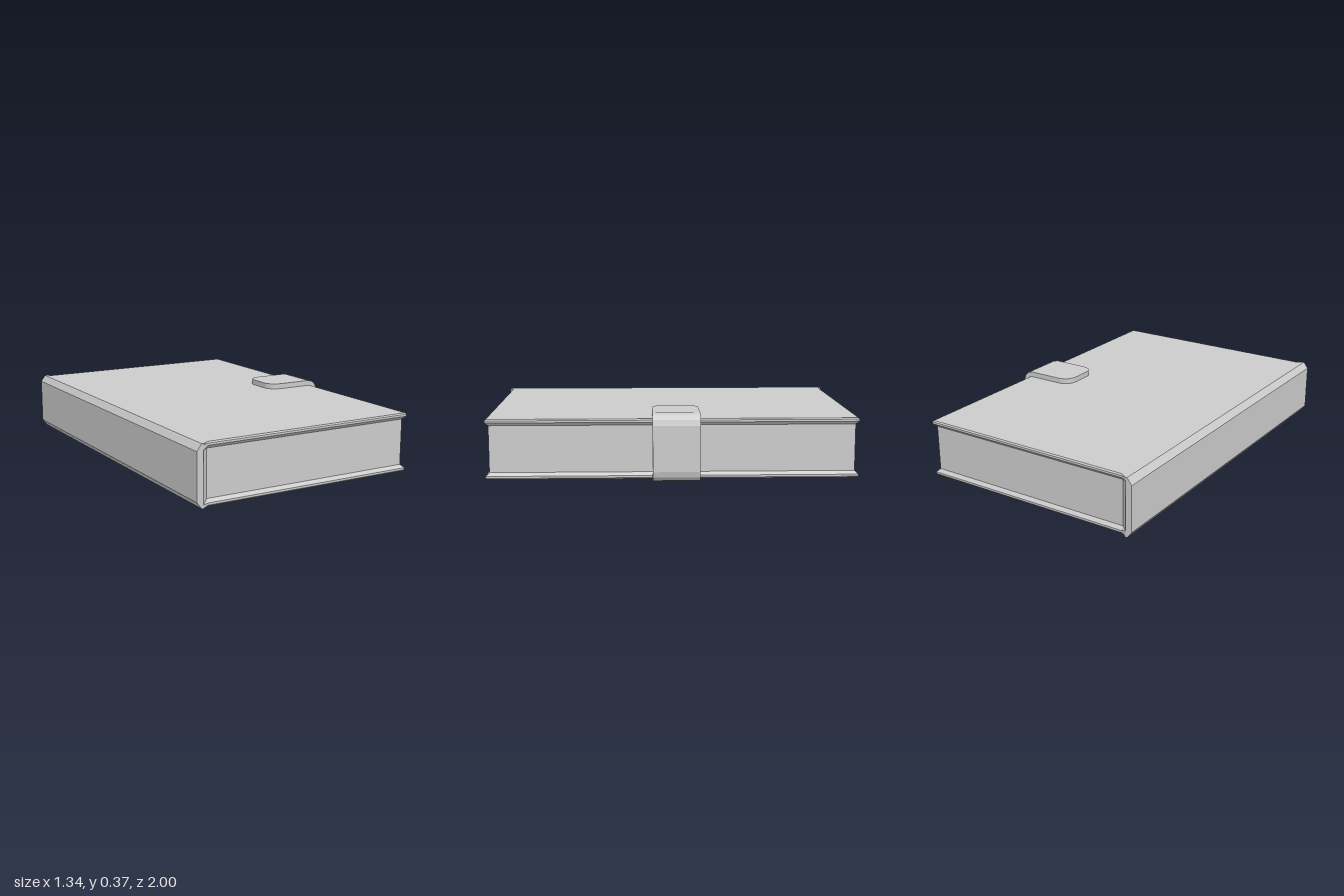
import * as THREE from 'three';

// Skin between successive rings of points; rings run counter-clockwise about the direction of travel
function skin(rings, { closed = false, startCap = null, endCap = null } = {}) {
  const pos = [];
  const tri = (a, b, c) => pos.push(...a, ...b, ...c);
  for (let i = 0; i < rings.length - 1; i++) {
    const lo = rings[i], hi = rings[i + 1], n = lo.length;
    for (let j = 0; j < (closed ? n : n - 1); j++) {
      const k = (j + 1) % n;
      tri(lo[j], lo[k], hi[k]);
      tri(lo[j], hi[k], hi[j]);
    }
  }
  if (startCap) for (let j = 1; j < startCap.length - 1; j++) tri(startCap[0], startCap[j + 1], startCap[j]);
  if (endCap) for (let j = 1; j < endCap.length - 1; j++) tri(endCap[0], endCap[j], endCap[j + 1]);
  const geo = new THREE.BufferGeometry();
  geo.setAttribute('position', new THREE.Float32BufferAttribute(pos, 3));
  geo.computeVertexNormals();
  return geo;
}

// Horizontal outline of the book at one height, starting at the front waist beside the spine
function outline({ y, spineX, edgeX, halfZ }) {
  const waistX = -0.597, shoulderX = -0.635;
  return [
    [waistX, y, halfZ], [edgeX, y, halfZ], [edgeX, y, -halfZ], [waistX, y, -halfZ],
    [shoulderX, y, -1], [spineX, y, -1], [spineX, y, 1], [shoulderX, y, 1],
  ];
}

export function createModel() {
  const group = new THREE.Group();
  const material = new THREE.MeshStandardMaterial({ color: 0xcccccc, flatShading: true });
  const add = (name, geometry) => {
    const mesh = new THREE.Mesh(geometry, material);
    mesh.name = name;
    group.add(mesh);
  };

  // Upper cover profile from the pages outwards and up; the lower one mirrors it
  const midY = 0.175;
  const profile = [
    { h: 0.125, spineX: -0.67, edgeX: 0.602, halfZ: 0.965 },
    { h: 0.142, spineX: -0.657, edgeX: 0.619, halfZ: 0.983 },
    { h: 0.153, spineX: -0.649, edgeX: 0.619, halfZ: 0.983 },
    { h: 0.16, spineX: -0.643, edgeX: 0.613, halfZ: 0.976 },
  ];
  const upper = profile.map(p => outline({ ...p, y: midY + p.h }));
  const lower = profile.map(p => outline({ ...p, y: midY - p.h })).reverse();
  const board = ring => ring.slice(0, 4);
  const back = ring => [...ring.slice(3), ring[0]];

  add('lowerCover', skin(lower.map(board), { startCap: lower[0] }));
  add('pages', skin([board(lower[3]), board(upper[0])]));
  add('upperCover', skin(upper.map(board), { endCap: upper[3] }));
  add('spine', skin([...lower, ...upper].map(back)));

  // Clasp strap: a flat band with rounded tabs, bent round the fore edge
  const thick = 0.03, halfWidth = 0.125, strapZ = -0.018, tabX = 0.335, tabR = 0.07;
  const bendX = 0.605, bendR = 0.06, topY = 0.365;
  const tab = [];
  for (let i = 0; i <= 6; i++) {
    const a = (i / 6) * Math.PI / 2;
    tab.push({ x: tabX + tabR * (1 - Math.cos(a)), w: halfWidth - tabR * (1 - Math.sin(a)) });
  }
  const station = (outer, inner, w) => [
    [...outer, strapZ - w], [...outer, strapZ + w], [...inner, strapZ + w], [...inner, strapZ - w],
  ];
  const bend = (cy, from) => [0, 1, 2, 3].map(i => {
    const a = from - (i / 3) * Math.PI / 2;
    const at = r => [bendX + r * Math.cos(a), cy + r * Math.sin(a)];
    return station(at(bendR), at(bendR - thick), halfWidth);
  });
  const strap = [
    ...tab.map(t => station([t.x, topY], [t.x, topY - thick], t.w)),
    ...bend(topY - bendR, Math.PI / 2),
    ...bend(bendR, 0),
    ...tab.reverse().map(t => station([t.x, 0], [t.x, thick], t.w)),
  ];
  add('claspStrap', skin(strap, { closed: true, startCap: strap[0], endCap: strap[strap.length - 1] }));

  return group;
}
